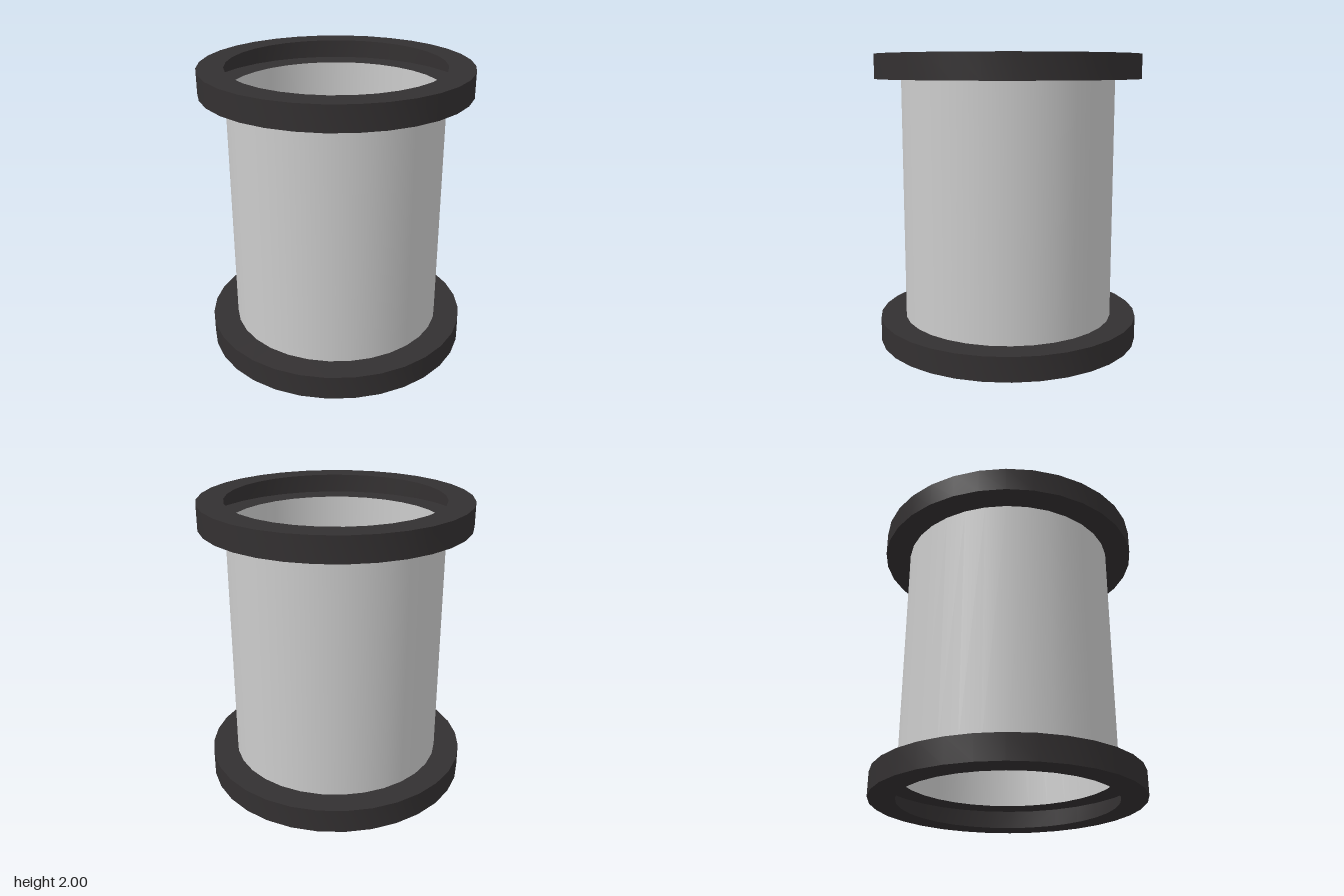
import * as THREE from 'three';
import { toCreasedNormals } from 'three/addons/utils/BufferGeometryUtils.js';

const SIDES = 32;
const TUBE_R = 0.737, FLANGE_R = 0.915;
const HEIGHT = 2, FLANGE_H = 0.166;

export function createModel() {
  const model = new THREE.Group();
  const tubeMaterial = new THREE.MeshStandardMaterial({ color: 0xcccccc, side: THREE.DoubleSide });
  const flangeMaterial = new THREE.MeshStandardMaterial({ color: 0x333031, side: THREE.DoubleSide });

  // Thin open tube between the two flanges
  const tube = new THREE.Mesh(
    new THREE.CylinderGeometry(TUBE_R, TUBE_R, HEIGHT - 2 * FLANGE_H, SIDES, 1, true),
    tubeMaterial
  );
  tube.name = 'tube';
  tube.position.y = HEIGHT / 2;
  model.add(tube);

  // Hollow flange: lower face, rim and upper face, open towards the bore
  const profile = [
    [TUBE_R, 0], [FLANGE_R, 0], [FLANGE_R, FLANGE_H], [TUBE_R, FLANGE_H],
  ].map(([r, y]) => new THREE.Vector2(r, y));
  const flangeGeometry = toCreasedNormals(new THREE.LatheGeometry(profile, SIDES), Math.PI / 6);

  for (const [name, y] of [['bottomFlange', 0], ['topFlange', HEIGHT - FLANGE_H]]) {
    const flange = new THREE.Mesh(flangeGeometry, flangeMaterial);
    flange.name = name;
    flange.position.y = y;
    model.add(flange);
  }
  return model;
}
